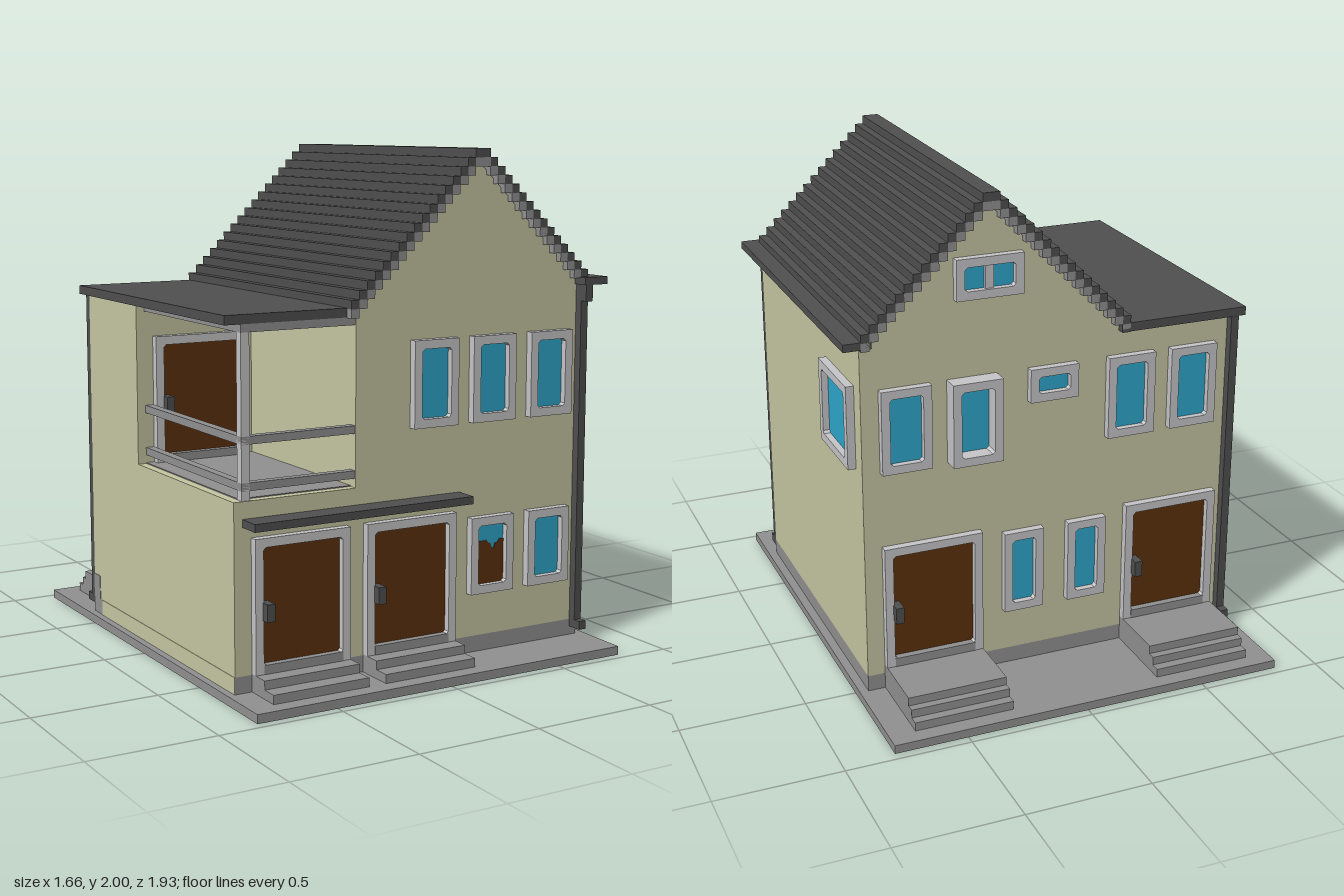
import * as THREE from 'three';

const paint = (name, color) => {
  const m = new THREE.MeshStandardMaterial({ color });
  m.name = name;
  return m;
};

export function createModel() {
  const house = new THREE.Group();
  house.name = 'house';
  const wall = paint('cream wall', 0xc8c8a4), stone = paint('grey stone', 0x929292);
  const slate = paint('dark slate', 0x505050), trim = paint('light trim', 0xc8c8ca);
  const glass = paint('blue glass', 0x2ea7cc), wood = paint('brown wood', 0x5c310d);

  // Box given by its limits
  const box = (name, mat, x0, x1, y0, y1, z0, z1, parent = house) => {
    const m = new THREE.Mesh(new THREE.BoxGeometry(x1 - x0, y1 - y0, z1 - z0), mat);
    m.position.set((x0 + x1) / 2, (y0 + y1) / 2, (z0 + z1) / 2);
    m.name = name;
    parent.add(m);
    return m;
  };
  const extrude = (name, mat, shape, depth, z, parent = house) => {
    const m = new THREE.Mesh(new THREE.ExtrudeGeometry(shape, { depth, bevelEnabled: false }), mat);
    m.position.z = z;
    m.name = name;
    parent.add(m);
    return m;
  };
  const polygon = pts => new THREE.Shape(pts.map(p => new THREE.Vector2(p[0], p[1])));
  // Rectangle with small cut corners
  const chamfered = (x0, x1, y0, y1, c) => polygon([
    [x0 + c, y0], [x1 - c, y0], [x1, y0 + c], [x1, y1 - c],
    [x1 - c, y1], [x0 + c, y1], [x0, y1 - c], [x0, y0 + c]]);

  // Ground slab, plinth and walls
  box('groundSlab', stone, -0.83, 0.795, 0, 0.035, -0.965, 0.965);
  box('plinth', stone, -0.8, 0.76, 0.035, 0.1, -0.56, 0.735);
  box('lowerLeftWall', wall, -0.8, -0.29, 0.1, 0.75, -0.56, 0.735);
  box('upperLeftWall', wall, -0.8, -0.29, 0.75, 1.39, -0.56, -0.09);
  box('sideWallFoot', wall, -0.802, -0.8, 0.035, 0.1, -0.48, 0.735);
  box('cornerPatch', stone, -0.802, -0.8, 0.1, 0.2, -0.56, -0.5);
  extrude('gableWall', wall, polygon([
    [-0.29, 0.1], [0.76, 0.1], [0.76, 1.455], [0.252, 1.95], [-0.29, 1.41]]), 1.295, -0.56);

  // Stepped roof with a grey course under the slate
  const v = 0.034, ridge = 0.252, zb = -0.592, zf = 0.762;
  const course = (x0, x1, top) => {
    box('roofStep', slate, x0, x1, top - v, top, zb, zf);
    box('roofTrim', stone, x0, x1, top - 2 * v, top - v, zb, zf);
  };
  course(ridge - v, ridge + v, 2);
  for (let i = 1; i <= 16; i++) {
    const near = i * v, far = (i + 1) * v, top = 2 - i * v;
    course(ridge - far, ridge - near, top);
    if (i < 15) course(ridge + near, ridge + far, top);
  }
  box('rightEave', slate, 0.72, 0.83, 1.465, 1.495, zb, 0.8);
  box('flatRoof', slate, -0.83, -0.29, 1.39, 1.425, zb, 0.73);

  // Balcony
  box('balconyFloor', stone, -0.765, -0.29, 0.745, 0.754, -0.09, 0.7);
  box('balconyPost', trim, -0.765, -0.73, 0.75, 1.36, 0.695, 0.73);
  for (const [y0, y1, name] of [[0.785, 0.815, 'lowerRail'], [0.955, 0.985, 'upperRail'], [1.36, 1.39, 'roofBeam']]) {
    box(name, stone, -0.73, -0.29, y0, y1, 0.695, 0.73);
    box(name + 'Side', stone, -0.765, -0.73, y0, y1, -0.09, 0.73);
  }

  // Porch canopy
  box('canopy', slate, -0.765, 0.18, 0.655, 0.685, 0.735, 0.83);

  // Groups whose local +z points out of each wall
  const face = (name, x, z, turn) => {
    const g = new THREE.Group();
    g.name = name;
    g.position.set(x, 0, z);
    g.rotation.y = turn;
    house.add(g);
    return g;
  };
  const front = face('frontFace', 0, 0.735, 0);
  const back = face('backFace', 0, -0.56, Math.PI);
  const side = face('rightFace', 0.76, 0, Math.PI / 2);
  const balcony = face('balconyFace', 0, -0.09, 0);

  // Framed opening: raised frame around a recessed panel
  const framed = (name, parent, x0, x1, y0, y1, mat, depth = 0.032) => {
    const b = 0.034;
    const shape = polygon([[x0, y0], [x1, y0], [x1, y1], [x0, y1]]);
    shape.holes.push(chamfered(x0 + b, x1 - b, y0 + b, y1 - b, 0.01));
    extrude(name + 'Frame', trim, shape, depth, 0, parent);
    box(name + 'Panel', mat, x0 + b, x1 - b, y0 + b, y1 - b, 0, 0.006, parent);
  };
  const door = (parent, x0, y0, handleY) => {
    framed('door', parent, x0, x0 + 0.402, y0, y0 + 0.51, wood);
    box('doorSill', stone, x0 + 0.034, x0 + 0.368, y0, y0 + 0.036, 0, 0.034, parent);
    box('doorHandle', slate, x0 + 0.03, x0 + 0.062, handleY, handleY + 0.066, 0.006, 0.066, parent);
  };

  // Doors and their steps
  for (const x of [-0.73, -0.255]) {
    door(front, x, 0.103, 0.308);
    box('frontStepLow', stone, x, x + 0.402, 0.035, 0.07, 0, 0.165, front);
    box('frontStepHigh', stone, x, x + 0.402, 0.07, 0.104, 0, 0.098, front);
  }
  for (const x of [-0.69, 0.33]) {
    door(back, x, 0.138, 0.342);
    [0.34, 0.302, 0.27].forEach((d, i) =>
      box('backStep', stone, x, x + 0.402, 0.035 + i * 0.034, 0.07 + i * 0.034, 0, d, back));
  }
  door(balcony, -0.73, 0.75, 0.955);

  // Front windows
  for (const x of [-0.05, 0.218, 0.49]) framed('upperWindow', front, x, x + 0.2, 0.955, 1.29, glass);
  for (const x of [0.218, 0.49]) framed('lowerWindow', front, x, x + 0.2, 0.275, 0.58, glass);
  // Notched board behind one lower window
  extrude('windowBoard', wood, polygon([
    [0.252, 0.309], [0.384, 0.309], [0.384, 0.48], [0.365, 0.48], [0.355, 0.465], [0.345, 0.465],
    [0.338, 0.445], [0.328, 0.45], [0.322, 0.468], [0.31, 0.472], [0.305, 0.48], [0.252, 0.48]]), 0.004, 0.006, front);

  // Side and back windows
  framed('sideWindow', side, 0.15, 0.487, 0.955, 1.29, glass);
  for (const x of [0.49, -0.44, -0.71]) framed('backWindow', back, -x - 0.2, -x, 0.955, 1.29, glass);
  framed('bayWindow', back, -0.42, -0.218, 0.955, 1.29, glass, 0.07);
  framed('smallWindow', back, -0.09, 0.11, 1.155, 1.29, glass);
  for (const x of [0.03, -0.24]) framed('backLowerWindow', back, -x - 0.165, -x, 0.28, 0.62, glass);
  framed('atticWindow', back, -0.39, -0.12, 1.6, 1.76, glass);
  box('atticMullion', trim, -0.272, -0.238, 1.63, 1.73, 0, 0.02, back);

  // Drainpipes
  box('frontPipe', slate, 0.727, 0.76, 0.07, 1.465, 0.735, 0.768);
  box('frontPipeTop', slate, 0.727, 0.76, 1.4, 1.465, 0.735, 0.798);
  box('frontPipeFoot', slate, 0.727, 0.76, 0.07, 0.104, 0.735, 0.8);
  box('backPipe', slate, -0.8, -0.767, 0.07, 1.39, -0.593, -0.56);
  box('backPipeFoot', slate, -0.8, -0.767, 0.07, 0.104, -0.63, -0.56);
  return house;
}
